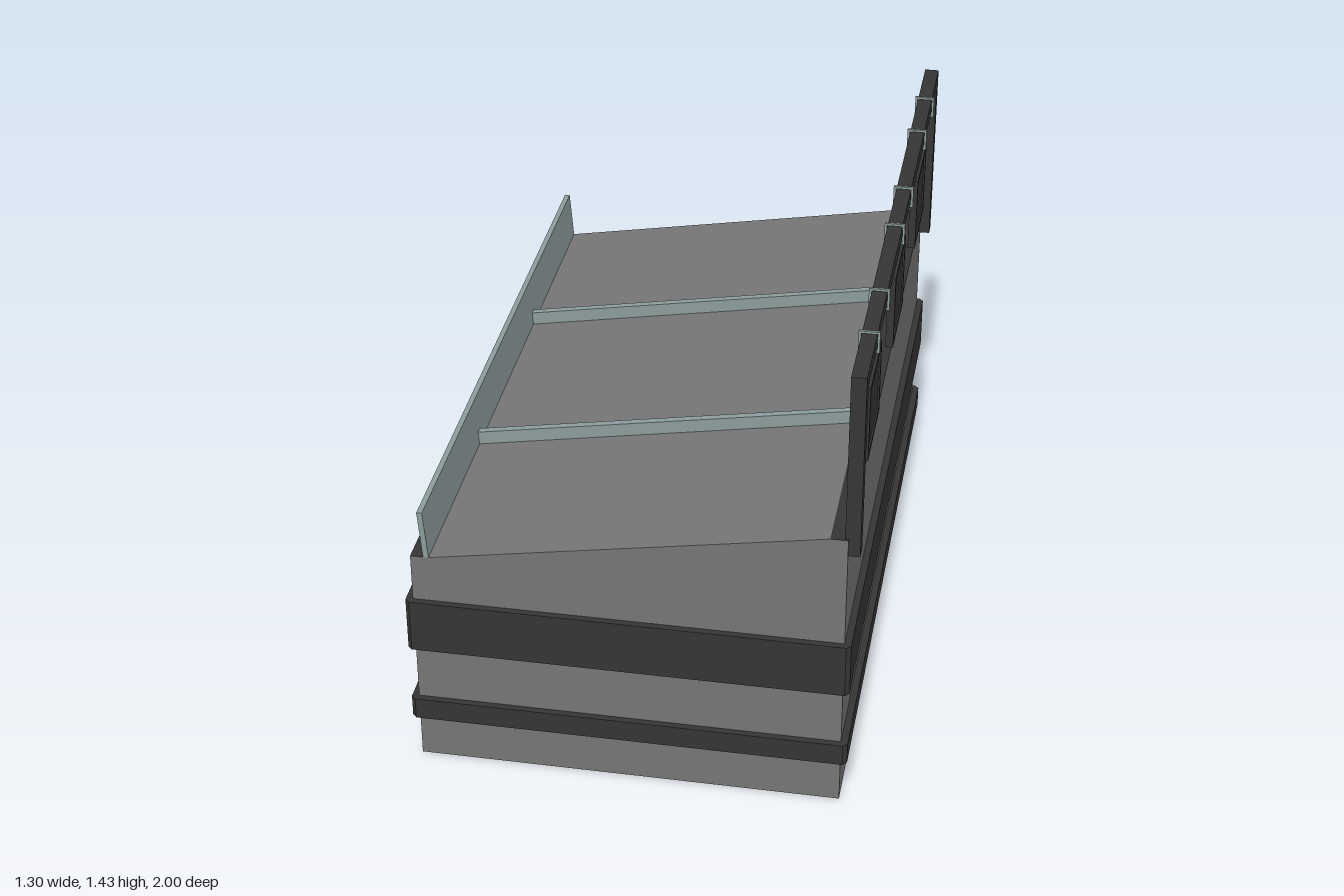
import * as THREE from 'three';

export function createModel() {
  const root = new THREE.Group();
  const material = (name, color) => {
    const m = new THREE.MeshStandardMaterial({ color, side: THREE.DoubleSide });
    m.name = name;
    return m;
  };
  const grey = material('wall grey', 0x757575);
  const dark = material('dark trim', 0x353535);
  const panel = material('sign panel', 0x3d3d3d);
  const pale = material('pale blue grey', 0x8b9b9b);

  const add = (name, geometry, mat, parent = root) => {
    const mesh = new THREE.Mesh(geometry, mat);
    mesh.name = name;
    parent.add(mesh);
    return mesh;
  };
  // Box given by its limits on each axis
  const box = (name, mat, [x0, x1], [y0, y1], [z0, z1], parent = root) => {
    const g = new THREE.BoxGeometry(x1 - x0, y1 - y0, z1 - z0);
    g.translate((x0 + x1) / 2, (y0 + y1) / 2, (z0 + z1) / 2);
    return add(name, g, mat, parent);
  };
  // Prism with an x-y outline, centred on the given z
  const prism = (name, mat, points, depth, z = 0) => {
    const shape = new THREE.Shape(points.map(p => new THREE.Vector2(...p)));
    const g = new THREE.ExtrudeGeometry(shape, { depth, bevelEnabled: false });
    return add(name, g.translate(0, 0, z - depth / 2), mat);
  };

  // Hollow body, open underneath, with a sloping roof between two dark ledges
  const half = 0.98;
  const profile = [[-0.63, 0], [-0.63, 0.705], [-0.58, 0.705], [0.56, 0.905], [0.61, 0.905], [0.61, 0]];
  const sheets = [['lowWall', grey], ['lowLedge', dark], ['roof', grey], ['highLedge', dark], ['highWall', grey]];
  sheets.forEach(([name, mat], i) => {
    const [x0, y0] = profile[i], [x1, y1] = profile[i + 1];
    const g = new THREE.PlaneGeometry(Math.hypot(x1 - x0, y1 - y0), half * 2);
    g.rotateX(-Math.PI / 2).rotateZ(Math.atan2(y1 - y0, x1 - x0));
    add(name, g.translate((x0 + x1) / 2, (y0 + y1) / 2, 0), mat);
  });
  const endShape = new THREE.Shape(profile.map(p => new THREE.Vector2(...p)));
  add('frontWall', new THREE.ShapeGeometry(endShape), grey).position.z = half;
  const back = new THREE.ShapeGeometry(endShape.clone());
  back.scale(-1, 1, 1).rotateY(Math.PI);
  const backMesh = add('backWall', back, grey);
  backMesh.position.z = -half;
  // Restore outward winding after the mirror
  const idx = back.index.array;
  for (let i = 0; i < idx.length; i += 3) [idx[i], idx[i + 1]] = [idx[i + 1], idx[i]];
  back.computeVertexNormals();

  // Bands around the body, with small chamfered corners
  const band = (name, y0, y1) => {
    const a = -0.65, b = 0.63, d = 1, c = 0.013;
    const ring = new THREE.Shape([
      [a + c, -d], [b - c, -d], [b, -d + c], [b, d - c],
      [b - c, d], [a + c, d], [a, d - c], [a, -d + c],
    ].map(p => new THREE.Vector2(...p)));
    ring.holes.push(new THREE.Path([
      [-0.627, -0.977], [-0.627, 0.977], [0.607, 0.977], [0.607, -0.977],
    ].map(p => new THREE.Vector2(...p))));
    const g = new THREE.ExtrudeGeometry(ring, { depth: y1 - y0, bevelEnabled: false });
    add(name, g.rotateX(-Math.PI / 2).translate(0, y0, 0), dark);
  };
  band('wideBand', 0.39, 0.557);
  band('narrowBand', 0.142, 0.21);

  // Leaning board along the low edge
  prism('edgeBoard', pale, [[-0.592, 0.702], [-0.576, 0.702], [-0.588, 0.855], [-0.604, 0.855]], half * 2);

  // Roof dividers with dark end blocks
  for (const z of [-0.365, 0.365]) {
    prism('roofDivider', pale, [[-0.58, 0.702], [0.56, 0.902], [0.56, 0.945], [-0.58, 0.747]], 0.022, z);
    box('dividerEnd', dark, [0.56, 0.605], [0.903, 0.945], [z - 0.012, z + 0.012]);
  }

  // Sign frame on the high side
  for (const s of [-1, 1]) {
    box('framePost', dark, [0.6, 0.643], [0.85, 1.42], [s * 0.951 - 0.022, s * 0.951 + 0.022]);
  }
  box('frameBeam', dark, [0.6, 0.643], [1.375, 1.42], [-0.972, 0.972]);

  // Three hanging signs, each on two rods with loops around the beam
  for (const z of [-0.625, 0, 0.625]) {
    const sign = new THREE.Group();
    sign.name = 'hangingSign';
    sign.position.z = z;
    root.add(sign);
    const w = 0.135, t = 0.016;
    box('signBoard', dark, [0.615, 0.628], [1.03, 1.255], [-w + 0.005, w - 0.005], sign);
    box('signPanel', panel, [0.613, 0.615], [1.03 + t, 1.255 - t], [-w + t, w - t], sign);
    for (const [y0, y1] of [[1.025, 1.025 + t], [1.26 - t, 1.26]]) {
      box('signRail', dark, [0.61, 0.633], [y0, y1], [-w, w], sign);
    }
    for (const s of [-1, 1]) {
      const e = s * (w - t / 2), h = s * 0.118, r = 0.004;
      box('signStile', dark, [0.61, 0.633], [1.025 + t, 1.26 - t], [e - t / 2, e + t / 2], sign);
      box('rod', pale, [0.6175, 0.6255], [1.26, 1.37], [h - r, h + r], sign);
      for (const [y0, y1] of [[1.365, 1.372], [1.423, 1.43]]) {
        box('loopBar', pale, [0.592, 0.651], [y0, y1], [h - r, h + r], sign);
      }
      for (const x of [0.592, 0.644]) {
        box('loopSide', pale, [x, x + 0.007], [1.372, 1.423], [h - r, h + r], sign);
      }
    }
  }
  return root;
}
